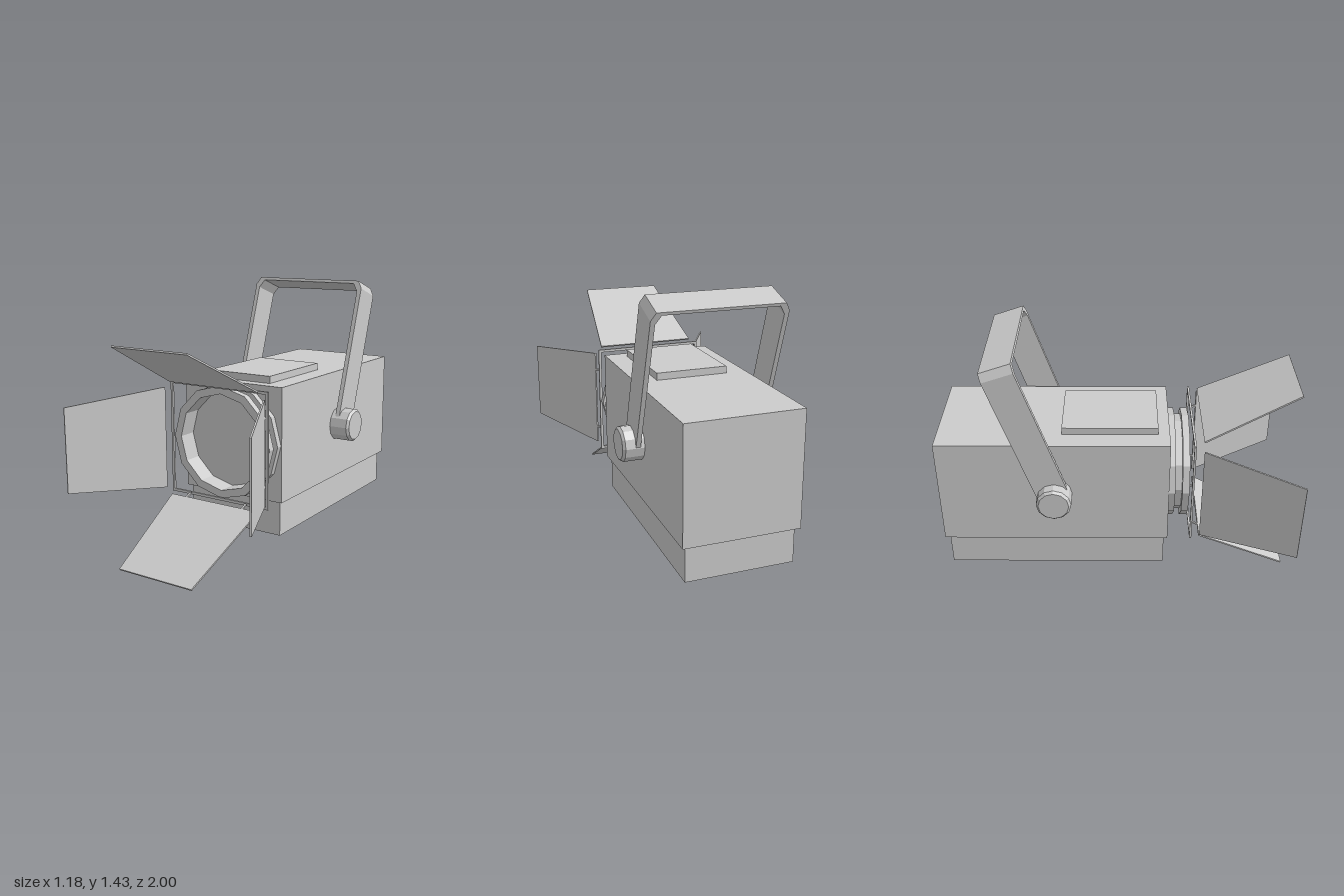
import * as THREE from 'three';

const material = new THREE.MeshStandardMaterial({ color: 0xcccccc, flatShading: true });
const CENTRE_Y = 0.592; // height of the optical axis

function add(parent, name, geometry, x = 0, y = 0, z = 0) {
  const mesh = new THREE.Mesh(geometry, material);
  mesh.name = name;
  mesh.position.set(x, y, z);
  parent.add(mesh);
  return mesh;
}

// Straight extrusion of an outline, centred on z = 0
function slab(points, depth, hole) {
  const shape = new THREE.Shape(points.map(([x, y]) => new THREE.Vector2(x, y)));
  if (hole) shape.holes.push(new THREE.Path(hole.map(([x, y]) => new THREE.Vector2(x, y))));
  return new THREE.ExtrudeGeometry(shape, { depth, bevelEnabled: false }).translate(0, 0, -depth / 2);
}

const square = (h) => [[-h, -h], [h, -h], [h, h], [-h, h]];
const lathe = (points, sides) =>
  new THREE.LatheGeometry(points.map(([r, h]) => new THREE.Vector2(r, h)), sides);

export function createModel() {
  const model = new THREE.Group();
  model.name = 'stageLight';

  // Housing
  add(model, 'body', new THREE.BoxGeometry(0.644, 0.645, 1.295), 0, 0.5925, -0.3525);
  add(model, 'base', new THREE.BoxGeometry(0.6, 0.2, 1.25), 0, 0.172, -0.35);
  add(model, 'topPlate', new THREE.BoxGeometry(0.408, 0.045, 0.535), 0, 0.9325, -0.0375);

  // Grooved lens barrel with a recessed lens
  const barrel = lathe([
    [0.318, 0.29], [0.318, 0.33], [0.283, 0.33], [0.283, 0.37],
    [0.318, 0.37], [0.318, 0.41], [0.273, 0.41], [0.273, 0.3], [0, 0.3],
  ], 12).rotateX(Math.PI / 2);
  add(model, 'lensBarrel', barrel, 0, CENTRE_Y);

  // Square frame that carries the barn doors
  add(model, 'doorFrame', slab(square(0.322), 0.012, square(0.307)), 0, CENTRE_Y, 0.429);

  // Four barn doors, the lower and left ones with hinge pins
  const names = ['topDoor', 'rightDoor', 'bottomDoor', 'leftDoor'];
  const doorShape = [[-0.29, 0], [0.29, 0], [0.235, 0.577], [-0.235, 0.577]];
  names.forEach((name, k) => {
    const mount = new THREE.Group();
    mount.name = name;
    mount.position.y = CENTRE_Y;
    mount.rotation.z = k * Math.PI / 2;
    const hinge = new THREE.Group();
    hinge.name = name + 'Hinge';
    hinge.position.set(0, 0.327, 0.48);
    hinge.rotation.x = THREE.MathUtils.degToRad(63.4);
    add(hinge, name + 'Panel', slab(doorShape, 0.009));
    if (k >= 2) {
      for (const s of [-1, 1]) {
        add(hinge, name + 'Pin', new THREE.BoxGeometry(0.012, 0.045, 0.009), s * 0.187, -0.0175, 0);
      }
    }
    mount.add(hinge);
    model.add(mount);
  });

  // Tilted yoke with cut corners
  const half = [[0.372, 0], [0.372, 0.81], [0.346, 0.855]];
  const inner = [[0.346, 0], [0.346, 0.79], [0.316, 0.838]];
  const flip = (points) => points.map(([x, y]) => [-x, y]);
  const outline = [...half, ...flip(half).reverse(), ...flip(inner), ...inner.slice().reverse()];
  const yoke = add(model, 'yoke', slab(outline, 0.18), 0, 0.595, -0.348);
  yoke.rotation.x = THREE.MathUtils.degToRad(-18.75);

  // Tilt knobs
  for (const s of [-1, 1]) {
    const knob = lathe([[0, 0], [0.098, 0], [0.098, 0.108], [0.085, 0.122], [0, 0.122]], 12);
    add(model, s > 0 ? 'leftKnob' : 'rightKnob', knob.rotateZ(-s * Math.PI / 2), s * 0.32, 0.595, -0.348);
  }

  return model;
}
